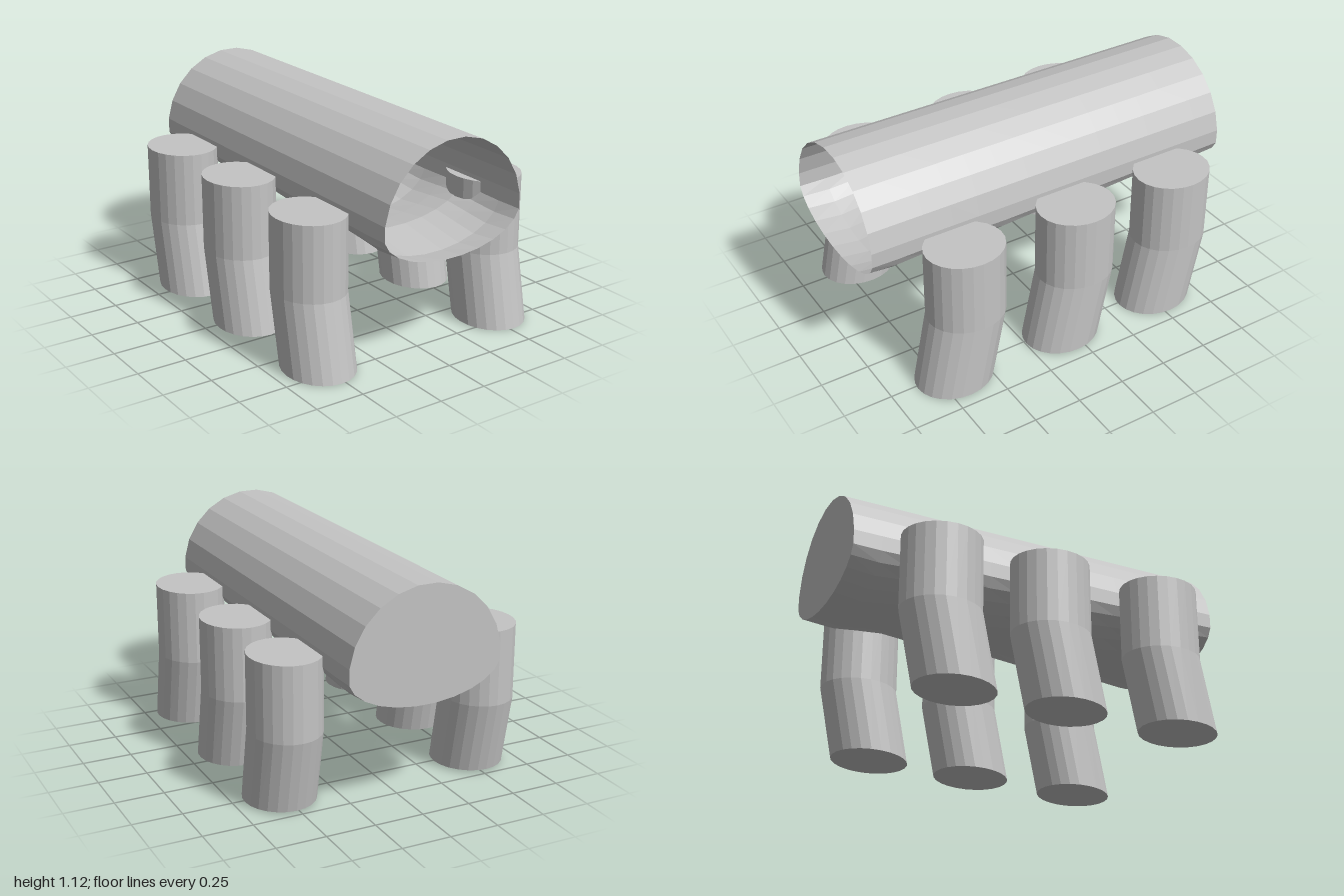
import * as THREE from 'three';

const SIDES = 24, RINGS = 14;

// Cross-section: round back above, shallow elliptical belly below
function ring(z, belly) {
  return Array.from({ length: SIDES }, (_, j) => {
    const a = ((j + 0.5) / SIDES) * Math.PI * 2;
    const s = Math.sin(a);
    return [0.393 * Math.cos(a), 0.73 + s * (s > 0 ? 0.393 : belly), z];
  });
}

// Tube with a rippled belly, running from the open front to the back
function shellGeometry() {
  const pos = [], index = [];
  for (let i = 0; i <= RINGS; i++) {
    const belly = 0.182 + 0.021 * Math.sin((i * Math.PI) / 2);
    ring(1 - (2 * i) / RINGS, belly).forEach((p) => pos.push(...p));
  }
  for (let i = 0; i < RINGS; i++) {
    for (let j = 0; j < SIDES; j++) {
      const k = (j + 1) % SIDES;
      const a = i * SIDES + j, b = i * SIDES + k;
      const c = a + SIDES, d = b + SIDES;
      index.push(a, c, b, b, c, d);
    }
  }
  const g = new THREE.BufferGeometry();
  g.setAttribute('position', new THREE.Float32BufferAttribute(pos, 3));
  g.setIndex(index);
  const flat = g.toNonIndexed();
  flat.computeVertexNormals();
  return flat;
}

// Oval leg: upright to the knee, then slanting forward to a slightly tilted foot
function legGeometry() {
  const g = new THREE.CylinderGeometry(1, 1, 0.76, SIDES, 2);
  g.scale(0.176, 1, 0.2);
  g.translate(0, 0.38, 0);
  const p = g.attributes.position;
  for (let i = 0; i < p.count; i++) {
    if (p.getY(i) > 0.1) continue;
    const z = p.getZ(i);
    p.setY(i, 0.006 - 0.03 * z);
    p.setZ(i, z + 0.075);
  }
  const flat = g.toNonIndexed();
  flat.computeVertexNormals();
  return flat;
}

export function createModel() {
  const model = new THREE.Group();
  model.name = 'sixLeggedBody';
  const grey = new THREE.MeshStandardMaterial({ color: 0xc4c4c4, side: THREE.DoubleSide, flatShading: true });
  grey.name = 'grey';

  const add = (name, geometry) => {
    const mesh = new THREE.Mesh(geometry, grey);
    mesh.name = name;
    model.add(mesh);
    return mesh;
  };

  // Hollow body, open at the front
  add('bodyShell', shellGeometry());

  // Flat plate closing the back
  const outline = new THREE.Shape(ring(0, 0.182).map(([x, y]) => new THREE.Vector2(x, y)));
  const plate = add('backPlate', new THREE.ShapeGeometry(outline));
  plate.rotation.y = Math.PI;
  plate.position.z = -1;

  // Three pairs of legs
  const leg = legGeometry();
  [['front', 0.59], ['middle', -0.03], ['back', -0.605]].forEach(([row, z]) => {
    for (const side of [1, -1]) {
      add(`${row}${side > 0 ? 'Left' : 'Right'}Leg`, leg).position.set(side * 0.52, 0, z);
    }
  });
  return model;
}
